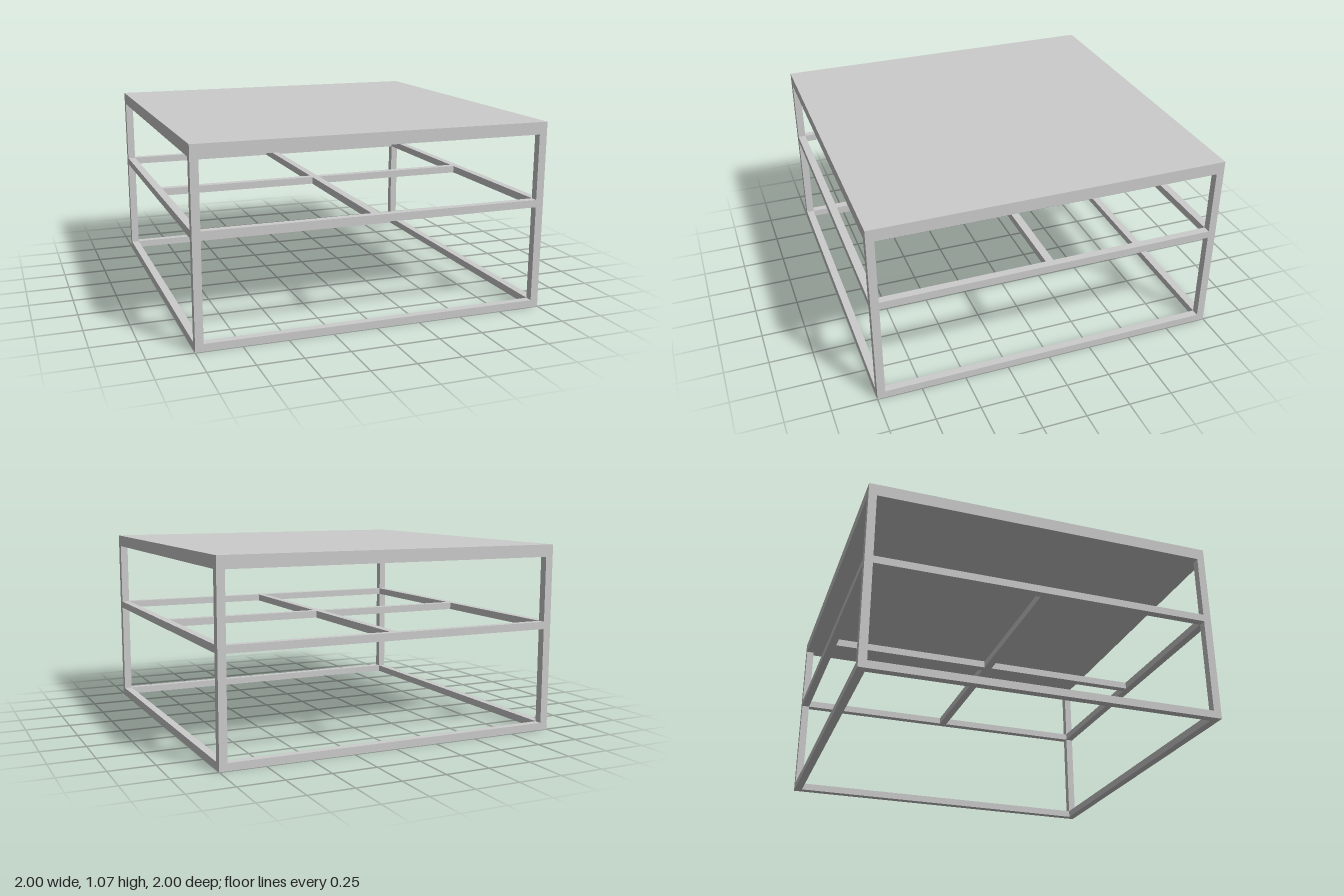
import * as THREE from 'three';

const BAR = 0.045; // square tube width
const RAIL = 0.042; // rail height
const TOP_Y = 1.003, HEIGHT = 1.072;

export function createModel() {
  const group = new THREE.Group();
  const material = new THREE.MeshStandardMaterial({ color: 0xcccccc, flatShading: true });

  const box = (name, w, h, d, x, y, z) => {
    const mesh = new THREE.Mesh(new THREE.BoxGeometry(w, h, d), material);
    mesh.name = name;
    mesh.position.set(x, y, z);
    group.add(mesh);
  };

  // Square slab top
  box('tabletop', 2, HEIGHT - TOP_Y, 2, 0, (HEIGHT + TOP_Y) / 2, 0);

  // Corner legs
  const edge = 1 - BAR / 2;
  for (const x of [-edge, edge])
    for (const z of [-edge, edge])
      box('leg', BAR, TOP_Y, BAR, x, TOP_Y / 2, z);

  // Floor and middle rails between the legs
  const span = 2 - 2 * BAR;
  const midY = 0.612;
  for (const [name, y] of [['floorRail', RAIL / 2], ['middleRail', midY]])
    for (const side of [-edge, edge]) {
      box(name, span, RAIL, BAR, 0, y, side);
      box(name, BAR, RAIL, span, side, y, 0);
    }

  // Cross brace joining the middle rails
  box('crossBar', span, RAIL, BAR, 0, midY, 0);
  const half = (span - BAR) / 2;
  for (const s of [-1, 1])
    box('crossBarHalf', BAR, RAIL, half, 0, midY, s * (BAR + half) / 2);

  return group;
}
